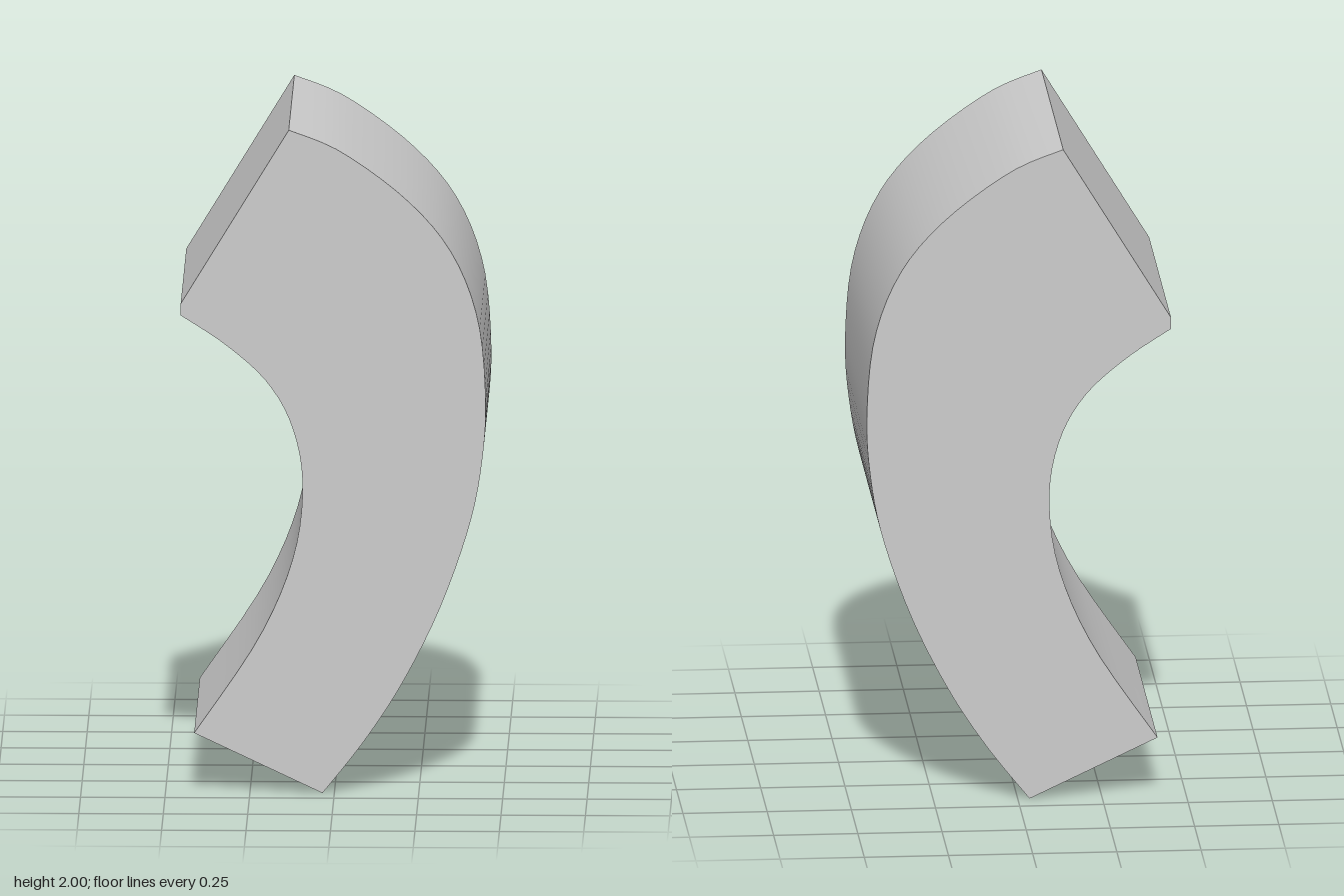
import * as THREE from 'three';
import { toCreasedNormals } from 'three/addons/utils/BufferGeometryUtils.js';

const DEPTH = 0.845;
const points = (list) => list.map(([x, y]) => new THREE.Vector2(x, y));

export function createModel() {
  const group = new THREE.Group();
  group.name = 'curvedBlock';

  const profile = new THREE.Shape();
  // Convex outer edge, from the bottom corner up to the top corner
  profile.moveTo(-0.035, 0);
  profile.splineThru(points([
    [0.09, 0.16], [0.205, 0.34], [0.315, 0.565], [0.4, 0.81], [0.437, 1.0], [0.448, 1.19],
    [0.425, 1.43], [0.348, 1.63], [0.215, 1.79], [0.02, 1.935], [-0.135, 2],
  ]));
  // Slanted upper end with its small blunt tip
  profile.lineTo(-0.455, 1.475);
  profile.lineTo(-0.455, 1.44);
  // Concave inner edge, down to the lower end
  profile.splineThru(points([
    [-0.32, 1.35], [-0.2, 1.24], [-0.125, 1.105], [-0.094, 0.93],
    [-0.122, 0.71], [-0.225, 0.465], [-0.415, 0.18],
  ]));
  profile.closePath();

  const body = new THREE.ExtrudeGeometry(profile, { depth: DEPTH, bevelEnabled: false, curveSegments: 4 });
  body.translate(0, 0, -DEPTH / 2);

  const mesh = new THREE.Mesh(
    toCreasedNormals(body, 0.5),
    new THREE.MeshStandardMaterial({ color: 0xcccccc }),
  );
  mesh.name = 'archSegment';
  group.add(mesh);
  return group;
}
